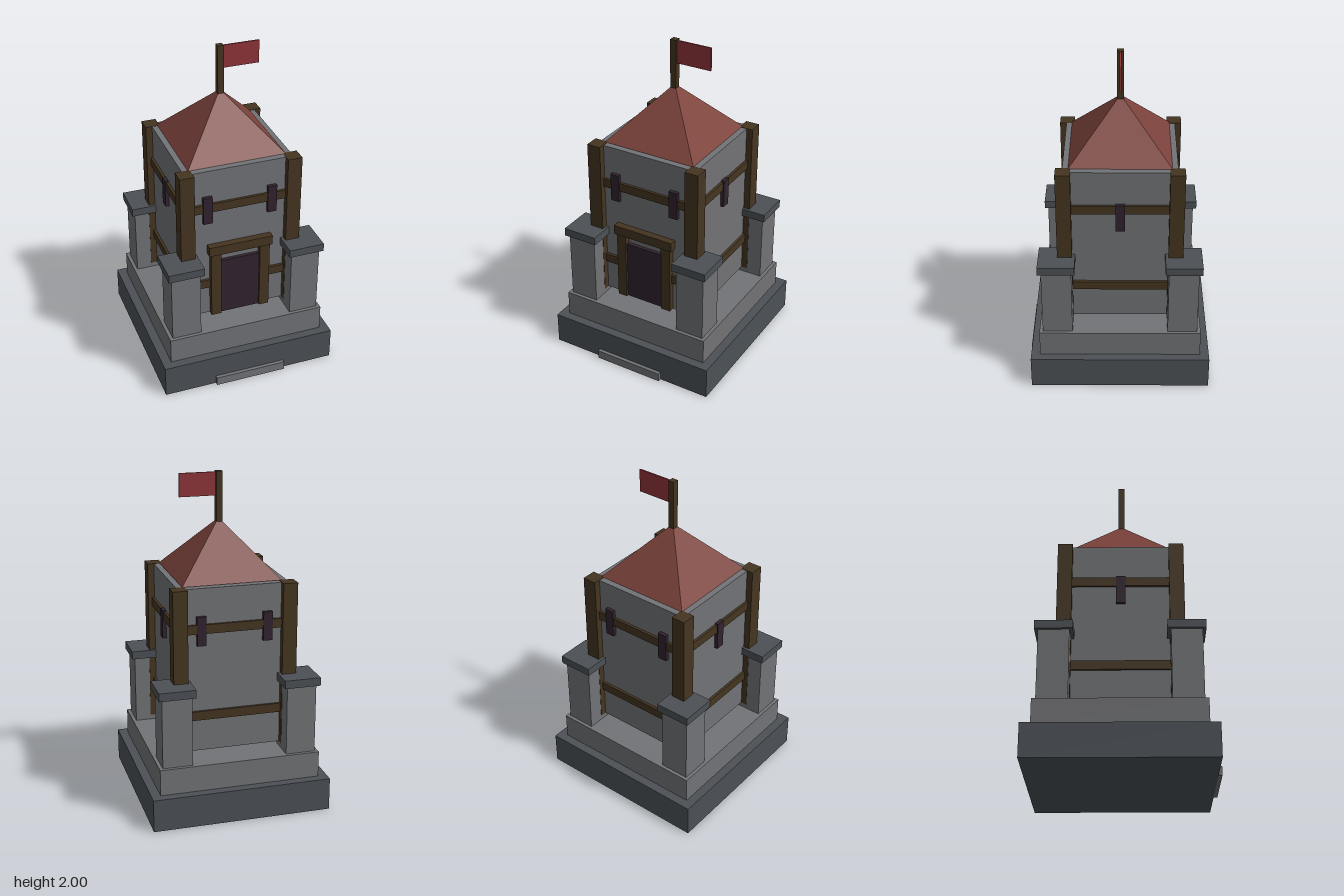
import * as THREE from 'three';

const mat = (name, color) => {
  const m = new THREE.MeshStandardMaterial({ color });
  m.name = name;
  return m;
};

export function createModel() {
  const stone = mat('stone', 0x727376);
  const darkStone = mat('dark stone', 0x4c5156);
  const wood = mat('wood', 0x453520);
  const dark = mat('dark plum', 0x31232f);
  const roofRed = mat('roof red', 0x7c423b);
  const flagRed = mat('flag red', 0x8e3438);

  const model = new THREE.Group();
  const tower = new THREE.Group();
  tower.name = 'tower';
  tower.position.z = -0.0135; // the door step sticks out in front
  model.add(tower);

  // Box given by its lower and upper corner
  const box = (name, material, [x0, y0, z0], [x1, y1, z1], parent = tower) => {
    const mesh = new THREE.Mesh(new THREE.BoxGeometry(x1 - x0, y1 - y0, z1 - z0), material);
    mesh.position.set((x0 + x1) / 2, (y0 + y1) / 2, (z0 + z1) / 2);
    mesh.name = name;
    parent.add(mesh);
    return mesh;
  };
  // Square block centred on x, z
  const block = (name, material, x, z, width, y0, y1) =>
    box(name, material, [x - width / 2, y0, z - width / 2], [x + width / 2, y1, z + width / 2]);

  // Stepped base
  block('base', darkStone, 0, 0, 1.088, 0, 0.2);
  block('plinth', stone, 0, 0, 0.978, 0.2, 0.36);
  box('doorStep', stone, [-0.222, 0, 0.544], [0.222, 0.055, 0.566]);

  // Tower body, floating just above the plinth
  block('walls', stone, 0, 0, 0.668, 0.39, 1.39);

  // Corner pillars with caps, and timber posts
  for (const sx of [-1, 1]) {
    for (const sz of [-1, 1]) {
      block('pillar', stone, sx * 0.378, sz * 0.378, 0.18, 0.36, 0.785);
      block('pillarCap', darkStone, sx * 0.378, sz * 0.378, 0.22, 0.785, 0.835);
      block('cornerPost', wood, sx * 0.33, sz * 0.33, 0.088, 0.39, 1.392);
    }
  }

  // Beams and window slits on each of the four sides
  for (let i = 0; i < 4; i++) {
    const side = new THREE.Group();
    side.name = 'wallSide';
    side.rotation.y = (i * Math.PI) / 2;
    tower.add(side);
    for (const y of [0.588, 1.121]) {
      box('beam', wood, [-0.29, y, 0.32], [0.29, y + 0.055, 0.35], side);
    }
    const slits = i % 2 ? [0] : [-0.2, 0.2];
    const y0 = i % 2 ? 1.008 : 1.05;
    for (const x of slits) {
      box('windowSlit', dark, [x - 0.028, y0, 0.325], [x + 0.028, y0 + 0.175, 0.357], side);
    }
  }

  // Door and its frame
  box('door', dark, [-0.13, 0.39, 0.325], [0.13, 0.77, 0.356]);
  for (const s of [-1, 1]) {
    box('doorJamb', wood, [s * 0.155 - 0.031, 0.39, 0.32], [s * 0.155 + 0.031, 0.83, 0.37]);
  }
  box('doorLintel', wood, [-0.2, 0.83, 0.32], [0.2, 0.89, 0.378]);

  // Pyramid roof
  const roofGeo = new THREE.ConeGeometry(0.3 * Math.SQRT2, 0.328, 4).rotateY(Math.PI / 4).toNonIndexed();
  roofGeo.computeVertexNormals();
  const roof = new THREE.Mesh(roofGeo, roofRed);
  roof.name = 'roof';
  roof.position.y = 1.394 + 0.164;
  tower.add(roof);

  // Flag on its pole
  block('flagPole', wood, 0, 0, 0.038, 1.69, 2);
  box('flag', flagRed, [0.015, 1.855, -0.005], [0.24, 1.995, 0.005]);

  return model;
}
